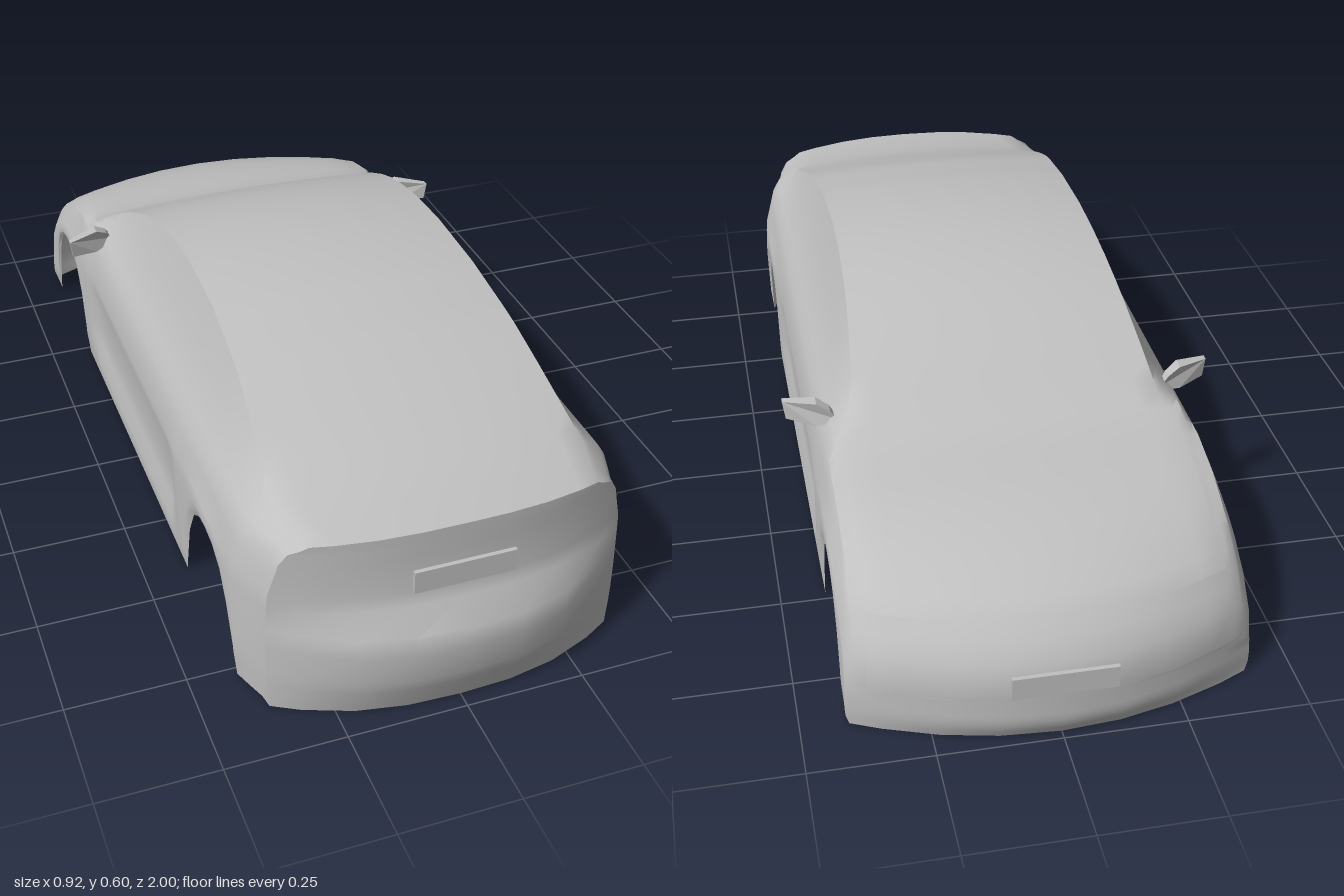
import * as THREE from 'three';
import { toCreasedNormals } from 'three/addons/utils/BufferGeometryUtils.js';

const clamp = THREE.MathUtils.clamp;
const smooth = THREE.MathUtils.smoothstep;

// Piecewise linear lookup in [key, value] pairs with rising keys
function lookup(table, v) {
  if (v <= table[0][0]) return table[0][1];
  for (let i = 1; i < table.length; i++) {
    const [k1, a1] = table[i], [k0, a0] = table[i - 1];
    if (v <= k1) return a0 + (a1 - a0) * (v - k0) / (k1 - k0);
  }
  return table[table.length - 1][1];
}

// Centreline height along z
const TOP = [[-1, 0.11], [-0.985, 0.18], [-0.93, 0.25], [-0.84, 0.305], [-0.72, 0.35], [-0.6, 0.372],
  [-0.5, 0.39], [-0.43, 0.427], [-0.35, 0.475], [-0.25, 0.522], [-0.15, 0.56], [-0.02, 0.586], [0.12, 0.595],
  [0.3, 0.583], [0.48, 0.547], [0.62, 0.495], [0.76, 0.442], [0.85, 0.425], [0.95, 0.415]];
// Half width of the roof, bonnet and boot panel by height
const ROOF_WIDTH = [[0.1, 0.37], [0.37, 0.345], [0.415, 0.325], [0.595, 0.29]];
// How far the tail and nose bulge at each height
const TAIL = [[0, 0.095], [0.1, 0.13], [0.2, 0.13], [0.247, 0.085], [0.31, 0.076], [0.42, 0.075]];
const NOSE = [[0, 0.1], [0.04, 0.12]];
// Wheel arch outline: distance from the axle, height
const ARCH = [[0, 0.24], [0.05, 0.232], [0.1, 0.2], [0.14, 0.13], [0.168, 0.02], [0.17, 0]];
const AXLES = [0.595, -0.65];
const REAR = 0.87, FRONT = -0.88;
const ACROSS = [0, 0.3, 0.58, 0.85, 1];
const LOWER = [1, 0.88, 0.72, 0.55, 0.32, 0.21, 0];

const widthAt = s => 1 - 0.09 * smooth(s, 0.74, REAR);

// z of a body point on station s, bowed at both ends
function bow(s, x, y) {
  const u = clamp(Math.abs(x) / (0.408 * widthAt(s)), 0, 1);
  const tail = smooth(s, 0.55, REAR) * lookup(TAIL, y) * (1 - u ** 2.5);
  const nose = smooth(-s, 0.45, -FRONT) * lookup(NOSE, y) * (1 - u ** 2);
  return s + tail - nose;
}

// Half cross-section from the centreline out and down: [x, y]
function halfSection(s) {
  const T = lookup(TOP, bow(s, 0, 0.4)), w = widthAt(s);
  const wr = lookup(ROOF_WIDTH, T);
  const pts = ACROSS.map(t => [wr * t, T * (1 - 0.028 * t * t)]);
  const edgeY = T * 0.972;
  const shoulderY = Math.min(0.36, T * 0.95);
  const beltY = Math.min(0.385, T * 0.96);
  pts.push([wr + (0.366 - wr) * 0.42, beltY + (edgeY - beltY) * 0.5]);
  pts.push([Math.max(0.366, wr + 0.004), beltY]);
  pts.push([0.384, shoulderY]);
  pts.push([0.392, Math.min(0.33, T * 0.9)]);
  const sillY = Math.min(0.28, T * 0.8);
  let bottom = 0;
  for (const a of AXLES) bottom = Math.max(bottom, lookup(ARCH, Math.abs(s - a)));
  // Shallow door recess
  const recess = 0.014 * smooth(s, -0.42, -0.34) * (1 - smooth(s, 0.3, 0.37));
  const side = [0.406, 0.408, 0.409, 0.41, 0.41, 0.409, 0.403];
  const dent = [0, 0.4, 0.9, 1, 1, 0, 0];
  LOWER.forEach((f, i) => pts.push([side[i] - recess * dent[i], bottom + (sillY - bottom) * f]));
  return pts.map(([x, y]) => [x * w, y]);
}

// Add the faces of a grid of points to a flat position list
function addGrid(out, rows) {
  for (let i = 0; i + 1 < rows.length; i++) {
    for (let j = 0; j + 1 < rows[i].length; j++) {
      const a = rows[i][j], b = rows[i + 1][j], c = rows[i + 1][j + 1], d = rows[i][j + 1];
      out.push(...a, ...b, ...d, ...b, ...c, ...d);
    }
  }
}

// Rounded end of the shell, hung from the outline of its last section
function endCap(s, dir) {
  const half = halfSection(s);
  const n = ACROSS.length;
  const rows = [];
  for (let k = n - 1; k < half.length; k++) {
    const row = [];
    for (let j = -(n - 1); j <= n - 1; j++) {
      const t = ACROSS[Math.abs(j)] * Math.sign(j) * dir;
      const x = half[k][0] * t;
      const y = k === n - 1 ? half[Math.abs(j)][1] : half[k][1];
      row.push([x, y, bow(s, x, y)]);
    }
    rows.push(row);
  }
  return rows;
}

function bodyGeometry() {
  const stations = [REAR, 0.84, 0.8, 0.37, 0.335, 0.3, 0.2, 0.12, 0, -0.1, -0.18, -0.25, -0.34, -0.38,
    -0.42, -0.45, -0.84, -0.865, FRONT];
  for (const a of AXLES) {
    for (const [d] of ARCH) {
      stations.push(a + d);
      if (d > 0) stations.push(a - d);
    }
  }
  stations.sort((a, b) => b - a);
  const rows = stations.map(s => {
    const half = halfSection(s).map(([x, y]) => [x, y, bow(s, x, y)]);
    const right = half.slice(1).map(([x, y, z]) => [-x, y, z]);
    return [...half.reverse(), ...right];
  });
  const out = [];
  addGrid(out, rows);
  addGrid(out, endCap(REAR, 1));
  addGrid(out, endCap(FRONT, -1));
  const geo = new THREE.BufferGeometry();
  geo.setAttribute('position', new THREE.Float32BufferAttribute(out, 3));
  return toCreasedNormals(geo, 0.75);
}

// Wedge-shaped door mirror, swept toward the tail at its outer end
function mirrorGeometry() {
  const shape = new THREE.Shape([[0.35, 0.385], [0.365, 0.372], [0.395, 0.366], [0.455, 0.372],
    [0.461, 0.412], [0.392, 0.42], [0.365, 0.405]].map(p => new THREE.Vector2(...p)));
  const geo = new THREE.ExtrudeGeometry(shape, { depth: 0.03, bevelEnabled: false });
  const p = geo.attributes.position;
  for (let i = 0; i < p.count; i++) {
    const x = p.getX(i);
    const thin = 1 - 0.5 * smooth(Math.abs(x - 0.4), 0.02, 0.06);
    p.setZ(i, -0.365 + (p.getZ(i) - 0.015) * thin + (x - 0.4) * 0.4);
  }
  geo.computeVertexNormals();
  return geo;
}

export function createModel() {
  const group = new THREE.Group();
  const grey = new THREE.MeshStandardMaterial({ color: 0xc0c0c0, side: THREE.DoubleSide });
  grey.name = 'light grey';
  const add = (name, geo, x = 0, y = 0, z = 0) => {
    const mesh = new THREE.Mesh(geo, grey);
    mesh.name = name;
    mesh.position.set(x, y, z);
    group.add(mesh);
    return mesh;
  };

  add('bodyShell', bodyGeometry());

  // Door mirrors and the long inner panels behind the wheel arches
  for (const [side, name] of [[1, 'left'], [-1, 'right']]) {
    add(name + 'Mirror', mirrorGeometry()).scale.x = side;
    const panel = add(name + 'InnerPanel', new THREE.PlaneGeometry(1.66, 0.24), 0.2 * side, 0.14, -0.02);
    panel.rotation.y = side * Math.PI / 2;
  }

  // Number plates
  add('rearPlate', new THREE.BoxGeometry(0.21, 0.05, 0.009), 0, 0.305, 0.95);
  add('frontPlate', new THREE.BoxGeometry(0.21, 0.05, 0.009), 0, 0.14, -0.996);
  return group;
}
